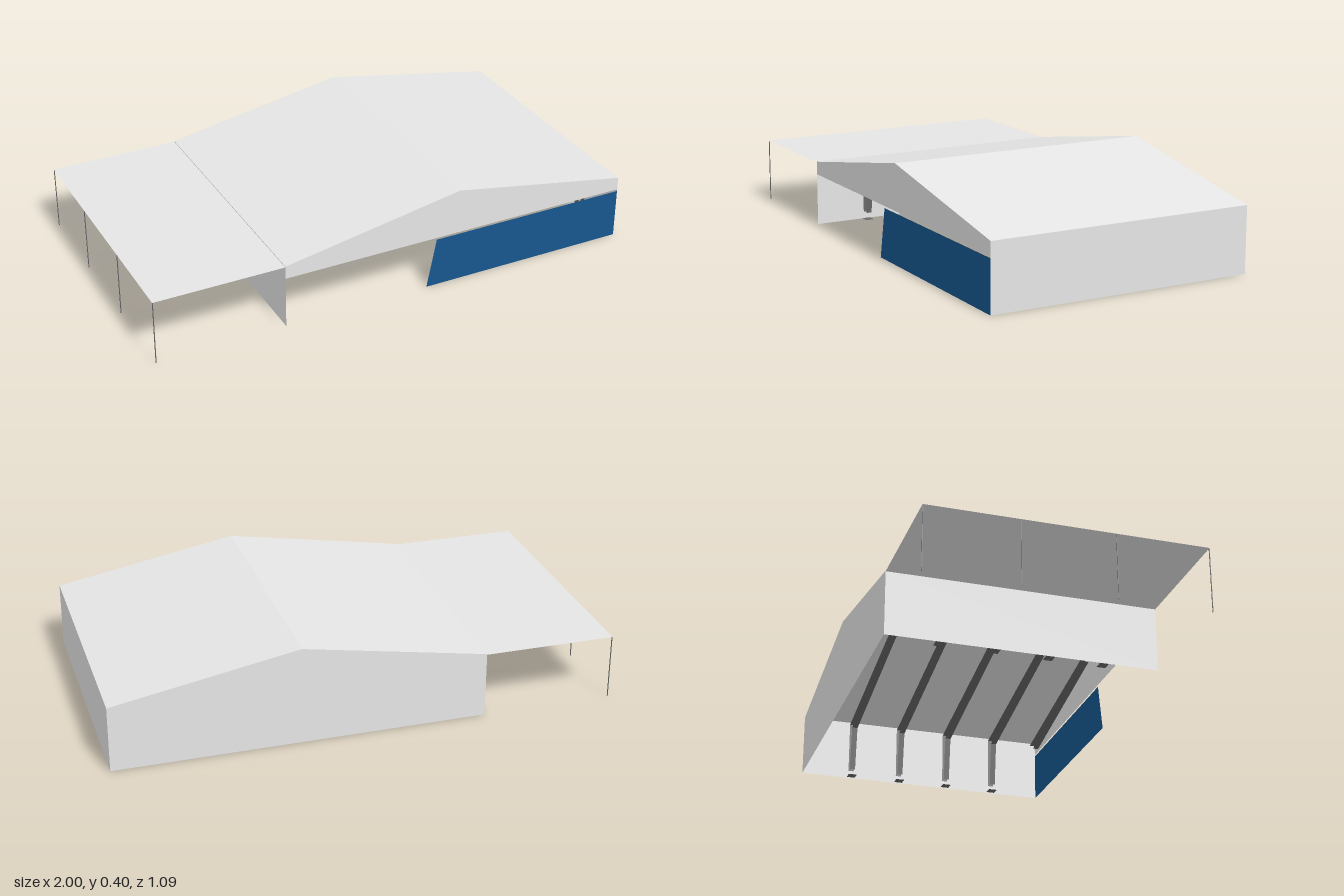
import * as THREE from 'three';

const L = -0.475, R = 1, RIDGE = 0.2625;     // hall extents along x
const EAVE = 0.265, TOP = 0.397, HZ = 0.5425; // heights and half depth

export function createModel() {
  const group = new THREE.Group();
  const make = (name, color) => {
    const m = new THREE.MeshStandardMaterial({ color, side: THREE.DoubleSide });
    m.name = name;
    return m;
  };
  const cladding = make('grey cladding', 0xe5e5e5);
  const blue = make('blue panel', 0x17568f);
  const steel = make('dark steel', 0x686868);

  const add = (parent, name, geo, mat, x = 0, y = 0, z = 0) => {
    const mesh = new THREE.Mesh(geo, mat);
    mesh.name = name;
    mesh.position.set(x, y, z);
    parent.add(mesh);
    return mesh;
  };
  // Flat sheet from an outline in the x-y plane
  const sheet = (pts) => new THREE.ShapeGeometry(
    new THREE.Shape(pts.map(([x, y]) => new THREE.Vector2(x, y))));
  // Thin rectangular strip running from a to b in x-y, centred on z
  const strip = (parent, name, a, b, z, width, mat) => {
    const dx = b[0] - a[0], dy = b[1] - a[1];
    const geo = new THREE.PlaneGeometry(Math.hypot(dx, dy), width).rotateX(-Math.PI / 2);
    const mesh = add(parent, name, geo, mat, (a[0] + b[0]) / 2, (a[1] + b[1]) / 2, z);
    mesh.rotation.z = Math.atan2(dy, dx);
  };

  // Roof slopes and side walls
  strip(group, 'leftRoofSlope', [RIDGE, TOP], [R, EAVE], 0, 2 * HZ, cladding);
  strip(group, 'rightRoofSlope', [L, EAVE], [RIDGE, TOP], 0, 2 * HZ, cladding);
  for (const [name, x] of [['leftWall', R], ['rightWall', L]]) {
    add(group, name, new THREE.PlaneGeometry(2 * HZ, EAVE).rotateY(Math.PI / 2), cladding, x, EAVE / 2, 0);
  }

  // Full back gable; front gable stops above the opening
  const gable = (base) => sheet([[L, base], [R, base], [R, EAVE], [RIDGE, TOP], [L, EAVE]]);
  add(group, 'backWall', gable(0), cladding, 0, 0, -HZ);
  add(group, 'frontGable', gable(0.212), cladding, 0, 0, HZ);
  add(group, 'frontBluePanel', sheet([[0.127, 0], [R, 0], [R, 0.204], [0.167, 0.204]]), blue, 0, 0, HZ);

  // Flanges of half a tapered portal frame; s = -1 for the right half, 1 for the left
  const rafter = (parent, s, z) => {
    const at = (d, y) => [RIDGE + s * ((R - L) / 2 - d), y]; // d = distance in from the wall
    const outer = at(0.008, 0.252), inner = at(0.055, 0.22);
    strip(parent, 'rafterTopFlange', outer, [RIDGE, 0.388], z, 0.024, steel);
    strip(parent, 'rafterBottomFlange', inner, [RIDGE, 0.36], z, 0.024, steel);
    return { at, outer, inner };
  };
  for (const z of [-0.325, -0.108, 0.108, 0.325]) {
    const frame = new THREE.Group();
    frame.name = 'portalFrame';
    for (const s of [-1, 1]) {
      const { at, outer, inner } = rafter(frame, s, z);
      strip(frame, 'columnOuterFlange', at(0.008, 0.03), outer, z, 0.024, steel);
      strip(frame, 'columnInnerFlange', at(0.034, 0.03), inner, z, 0.024, steel);
      strip(frame, 'basePlate', at(0.004, 0.002), at(0.044, 0.002), z, 0.036, steel);
    }
    group.add(frame);
  }
  // Front end rafter above the blue panel
  const end = new THREE.Group();
  end.name = 'frontEndRafter';
  rafter(end, 1, HZ - 0.015);
  group.add(end);

  // Flat canopy on slim posts
  const canopy = new THREE.Group();
  canopy.name = 'canopy';
  strip(canopy, 'canopyRoof', [-1, 0.262], [L, 0.262], 0, 2 * HZ, cladding);
  for (let i = 0; i < 4; i++) {
    add(canopy, 'canopyPost', new THREE.BoxGeometry(0.003, 0.26, 0.003), steel,
      -0.9985, 0.13, (HZ - 0.0015) * (-1 + 2 * i / 3));
  }
  group.add(canopy);
  return group;
}
